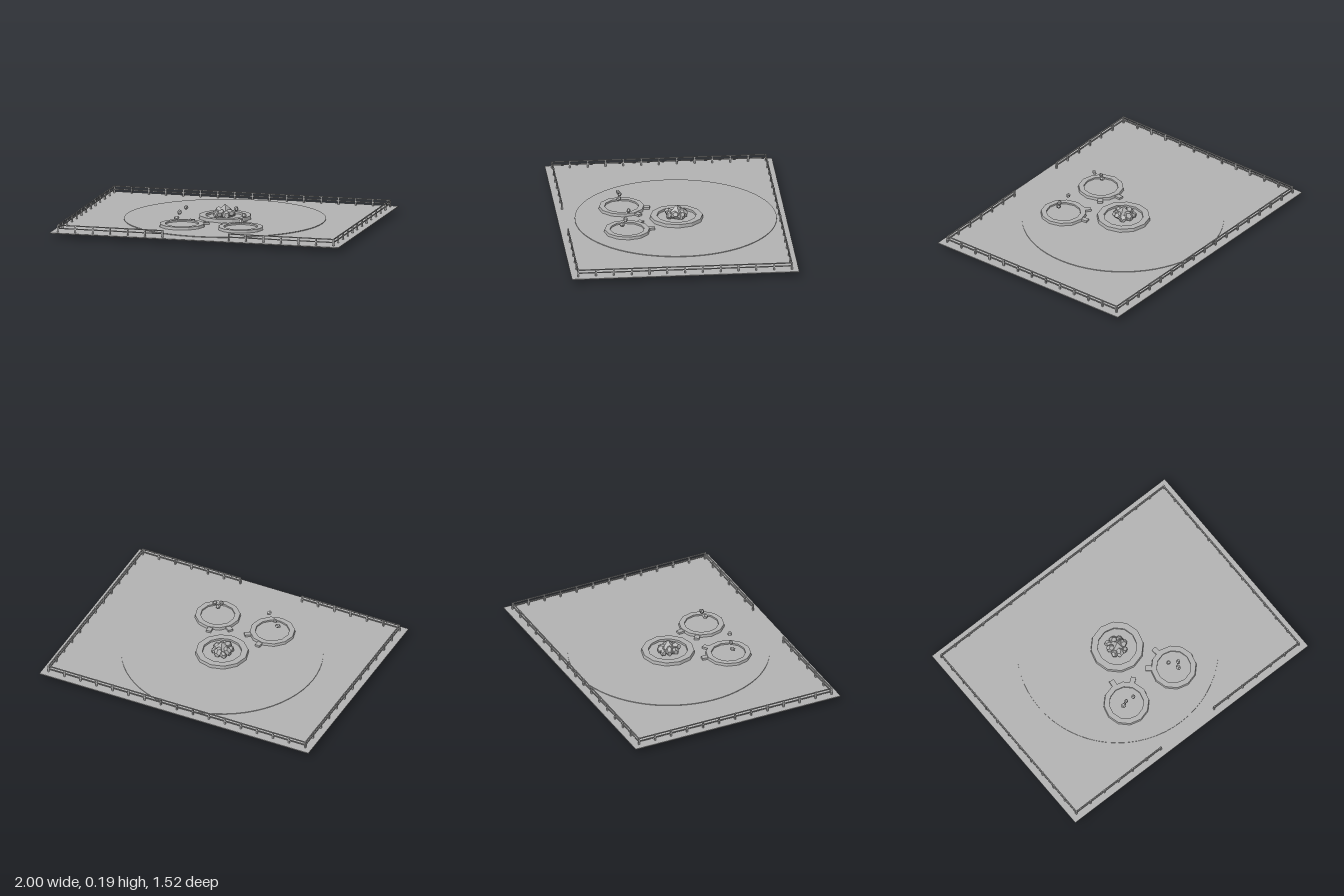
import * as THREE from 'three';

export function createModel() {
  const model = new THREE.Group();
  const stone = new THREE.MeshStandardMaterial({ color: 0xb2b2b2, flatShading: true });
  stone.name = 'grey stone';

  const add = (name, geometry, x, y, z, parent = model) => {
    const mesh = new THREE.Mesh(geometry, stone);
    mesh.name = name;
    mesh.position.set(x, y, z);
    parent.add(mesh);
    return mesh;
  };

  // Ground slab and the low round terrace
  add('ground', new THREE.BoxGeometry(2, 0.006, 1.525), 0, 0.036, 0);
  add('terrace', new THREE.CylinderGeometry(0.675, 0.675, 0.005, 64), 0, 0.0412, -0.025);

  // Fence: evenly spaced posts carrying two rails
  const FX = 0.955, FZ = 0.717, STEP = FX / 8;
  const fence = (name, x0, z0, x1, z1) => {
    const run = new THREE.Group();
    run.name = name;
    model.add(run);
    const dx = x1 - x0, dz = z1 - z0, length = Math.hypot(dx, dz);
    const count = Math.round(length / STEP);
    for (let i = 0; i <= count; i++) {
      const t = i / count;
      add('fencePost', new THREE.BoxGeometry(0.01, 0.05, 0.01), x0 + dx * t, 0.062, z0 + dz * t, run);
    }
    for (const y of [0.063, 0.084]) {
      const rail = add('fenceRail', new THREE.BoxGeometry(length, 0.007, 0.006), (x0 + x1) / 2, y, (z0 + z1) / 2, run);
      rail.rotation.y = -Math.atan2(dz, dx);
    }
  };
  fence('backFence', -FX, -FZ, FX, -FZ);
  fence('leftFence', FX, -FZ, FX, FZ);
  fence('rightFence', -FX, -FZ, -FX, FZ);
  fence('frontLeftFence', STEP * 2 - 0.01, FZ, FX, FZ);
  fence('frontRightFence', -FX, FZ, -STEP * 2 + 0.01, FZ);

  // Twelve-sided basins with a raised rim and a sunken floor
  const basin = (name, x, z, r, inner, top) => {
    const profile = [
      [r, 0.04], [r - 0.004, top], [inner, top], [inner, 0.051], [0, 0.051],
    ].map(([px, py]) => new THREE.Vector2(px, py));
    add(name, new THREE.LatheGeometry(profile, 12), x, 0, z);
  };
  const CZ = -0.03;
  basin('mainBasin', 0, CZ, 0.18, 0.132, 0.066);
  for (const side of [-1, 1]) {
    const cx = side * 0.203, cz = 0.32;
    basin('smallBasin', cx, cz, 0.155, 0.115, 0.062);
    // Two spouts on either side of the line to the main basin
    const toMain = Math.atan2(CZ - cz, -cx);
    for (const turn of [-0.41, 0.41]) {
      const a = toMain + turn;
      const spout = add('spout', new THREE.BoxGeometry(0.055, 0.018, 0.034),
        cx + Math.cos(a) * 0.161, 0.049, cz + Math.sin(a) * 0.161);
      spout.rotation.y = -a;
    }
  }

  // Rough stones
  const rock = (name, x, y, z, r, turn, stretch = 1) => {
    const mesh = add(name, new THREE.DodecahedronGeometry(r, 0), x, y, z);
    mesh.rotation.set(turn * 0.7, turn, turn * 0.4);
    mesh.scale.set(stretch, 0.8, 1);
  };

  // Central crystal surrounded by a ring of stones
  const crystal = add('crystal', new THREE.OctahedronGeometry(0.07), 0, 0.07, CZ);
  crystal.rotation.y = 0.3;
  for (let i = 0; i < 8; i++) {
    const a = (i / 8) * Math.PI * 2 + 0.25;
    const reach = i % 2 ? 0.05 : 0.042;
    rock('basinStone', -0.006 + Math.cos(a) * reach, i % 2 ? 0.072 : 0.082, CZ + Math.sin(a) * reach * 1.15,
      i % 2 ? 0.026 : 0.03, i * 1.3, 1.2);
  }

  // Floating stones above the small basins
  const floating = [
    [-0.237, 0.099, 0.335, 0.018], [-0.217, 0.139, 0.332, 0.016], [-0.167, 0.177, 0.348, 0.016],
    [0.216, 0.1, 0.353, 0.019], [0.231, 0.139, 0.333, 0.017], [0.168, 0.177, 0.307, 0.016],
  ];
  floating.forEach(([x, y, z, r], i) => rock('floatingStone', x, y, z, r, i * 0.9 + 0.4, 1.1));

  return model;
}
